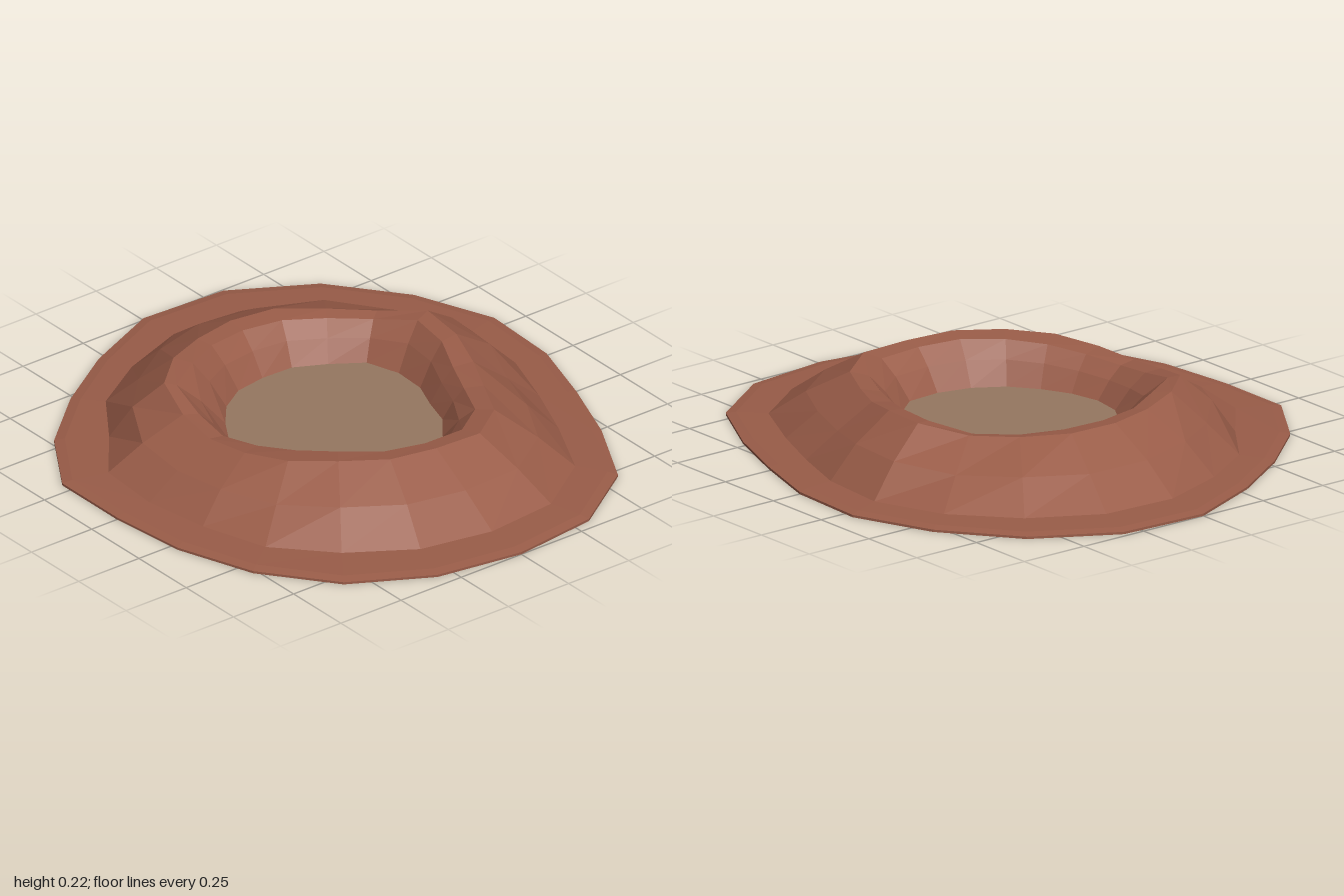
import * as THREE from 'three';

const N = 20; // radial segments, starting at +x and turning towards +z

// Radii of each contour at equal angles
const rim = [1, 1, 0.99, 0.95, 0.91, 0.895, 0.94, 0.91, 0.89, 0.92, 1, 1.035, 1.02, 0.98, 0.95, 0.89, 0.85, 0.88, 0.97, 1.01];
const foot = [0.845, 0.835, 0.81, 0.8, 0.76, 0.76, 0.78, 0.73, 0.77, 0.79, 0.84, 0.87, 0.86, 0.845, 0.82, 0.76, 0.72, 0.74, 0.825, 0.86];
const crest = [0.55, 0.55, 0.53, 0.53, 0.515, 0.51, 0.52, 0.55, 0.54, 0.53, 0.54, 0.55, 0.53, 0.535, 0.56, 0.515, 0.49, 0.495, 0.55, 0.58];
const lip = [0.49, 0.48, 0.45, 0.44, 0.44, 0.455, 0.465, 0.51, 0.475, 0.475, 0.475, 0.48, 0.48, 0.49, 0.5, 0.455, 0.42, 0.43, 0.485, 0.51];
const pit = [0.39, 0.38, 0.37, 0.355, 0.355, 0.36, 0.36, 0.35, 0.36, 0.37, 0.37, 0.385, 0.385, 0.41, 0.39, 0.365, 0.34, 0.36, 0.375, 0.4];
// Height of the crest at the same angles
const crestY = [0.2, 0.205, 0.205, 0.195, 0.18, 0.17, 0.185, 0.215, 0.215, 0.205, 0.2, 0.195, 0.187, 0.188, 0.215, 0.21, 0.19, 0.183, 0.187, 0.195];
const FLOOR_Y = 0.06;

// One closed ring of points from radius and height rules
function ring(radius, height) {
  return Array.from({ length: N }, (_, i) => {
    const a = (i / N) * Math.PI * 2;
    const r = radius(i);
    return [Math.cos(a) * r, height(i), Math.sin(a) * r];
  });
}

function toGeometry(points) {
  const g = new THREE.BufferGeometry();
  g.setAttribute('position', new THREE.Float32BufferAttribute(points.flat(), 3));
  g.computeVertexNormals(); // unshared corners give flat facets
  return g;
}

// Skin between successive rings, ordered from outside to inside
function loft(rings) {
  const p = [];
  for (let k = 0; k < rings.length - 1; k++) {
    for (let i = 0; i < N; i++) {
      const j = (i + 1) % N;
      const [a, b, c, d] = [rings[k][i], rings[k][j], rings[k + 1][i], rings[k + 1][j]];
      p.push(a, c, b, b, c, d);
    }
  }
  return toGeometry(p);
}

// Flat fan closing a ring, facing up or down
function cap(points, up) {
  const p = [];
  const centre = [0, points[0][1], 0];
  for (let i = 0; i < N; i++) {
    const a = points[i], b = points[(i + 1) % N];
    p.push(centre, ...(up ? [b, a] : [a, b]));
  }
  return toGeometry(p);
}

export function createModel() {
  const group = new THREE.Group();
  group.name = 'crater';

  const earth = new THREE.MeshStandardMaterial({ color: 0x995c48, flatShading: true });
  earth.name = 'red earth';
  const sand = new THREE.MeshStandardMaterial({ color: 0x967760, flatShading: true });
  sand.name = 'pale sand';

  const add = (name, geometry, material) => {
    const mesh = new THREE.Mesh(geometry, material);
    mesh.name = name;
    group.add(mesh);
  };

  // Slight unevenness for the slope
  const bump = (i) => 0.03 * Math.sin(i * 2.4 + 1);
  const mix = THREE.MathUtils.lerp;

  const base = ring((i) => rim[i], () => 0);
  const edge = ring((i) => rim[i], () => 0.008);
  const bevel = ring((i) => rim[i] - 0.035, () => 0.014);
  const footRing = ring((i) => foot[i], () => 0.018);
  const slope = ring((i) => mix(foot[i], crest[i], 0.45 + bump(i)), (i) => mix(0.018, crestY[i], 0.53 - bump(i)));
  const crestRing = ring((i) => crest[i], (i) => crestY[i]);
  const lipRing = ring((i) => lip[i], (i) => crestY[i] - 0.008);
  const wall = ring((i) => mix(lip[i], pit[i], 0.5), (i) => mix(crestY[i], FLOOR_Y, 0.45));
  const floorRing = ring((i) => pit[i], () => FLOOR_Y);

  add('apron', loft([base, edge, bevel, footRing]), earth);
  add('outerSlope', loft([footRing, slope, crestRing]), earth);
  add('crestLip', loft([crestRing, lipRing]), earth);
  add('innerWall', loft([lipRing, wall, floorRing]), earth);
  add('craterFloor', cap(floorRing, true), sand);
  add('underside', cap(base, false), earth);

  return group;
}
